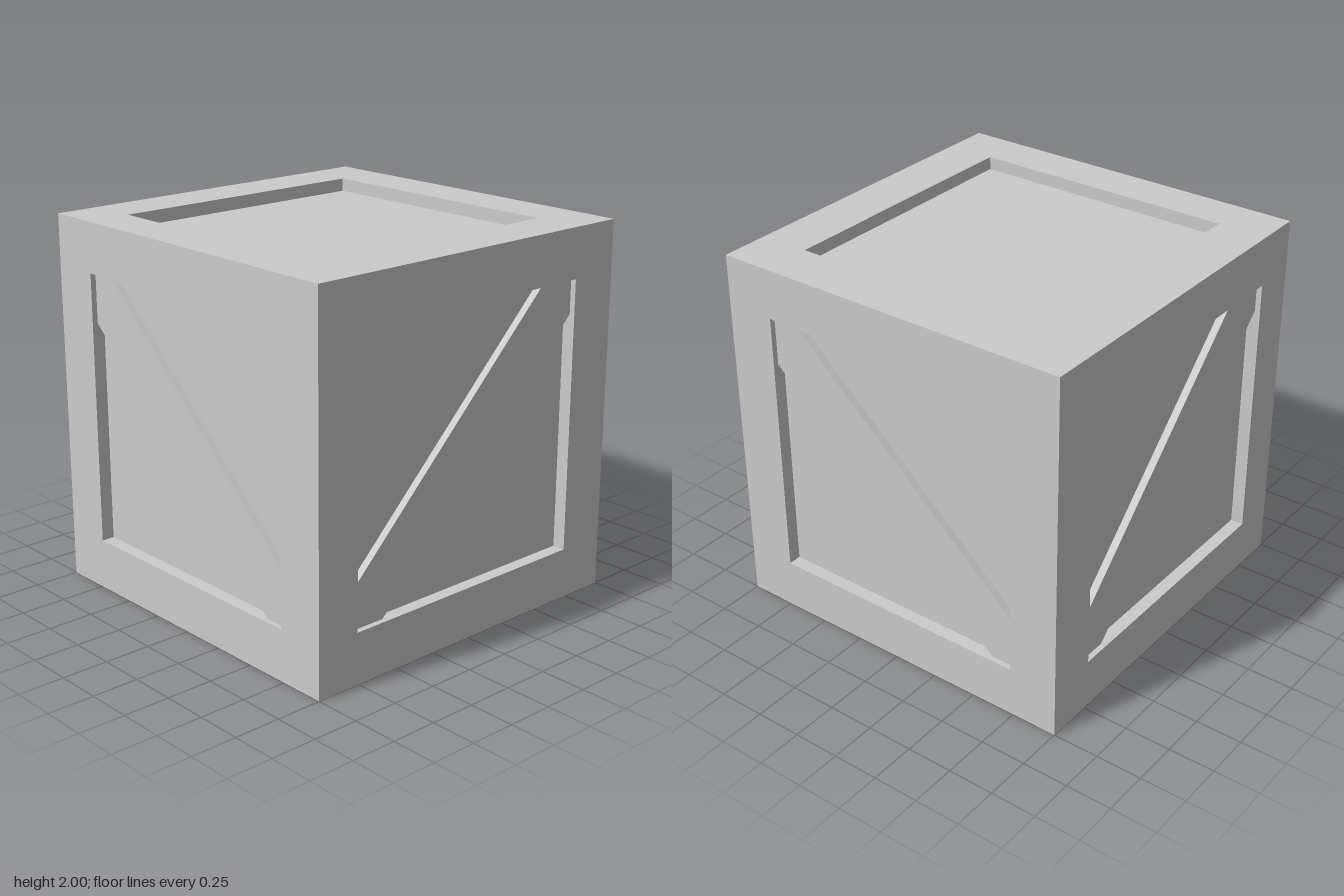
import * as THREE from 'three';

const INNER = 0.93;       // distance of the recessed panels from the centre
const BRACE_FACE = 0.97;  // distance of the brace faces from the centre
const BRACE_WIDTH = 0.284;

// Square frame plate with a rectangular opening; its back outline is mitred so six plates close a cube
function framePlate(u0, u1, v0, v1) {
  const shape = new THREE.Shape([[-1, -1], [1, -1], [1, 1], [-1, 1]].map(p => new THREE.Vector2(...p)));
  shape.holes.push(new THREE.Path([[u0, v0], [u0, v1], [u1, v1], [u1, v0]].map(p => new THREE.Vector2(...p))));
  const geo = new THREE.ExtrudeGeometry(shape, { depth: 1 - INNER, bevelEnabled: false });
  geo.translate(0, 0, INNER);
  const pos = geo.attributes.position;
  for (let i = 0; i < pos.count; i++) {
    const x = pos.getX(i), y = pos.getY(i);
    if (pos.getZ(i) < 0.95 && Math.max(Math.abs(x), Math.abs(y)) > 0.99) {
      pos.setXY(i, x * INNER, y * INNER);
    }
  }
  geo.computeVertexNormals();
  return geo;
}

export function createModel() {
  const crate = new THREE.Group();
  crate.name = 'crate';
  const material = new THREE.MeshStandardMaterial({ color: 0xcccccc, flatShading: true });
  const add = (parent, name, geo) => {
    const mesh = new THREE.Mesh(geo, material);
    mesh.name = name;
    parent.add(mesh);
    return mesh;
  };

  // Inner box whose faces are the recessed panels
  add(crate, 'panels', new THREE.BoxGeometry(2 * INNER, 2 * INNER, 2 * INNER)).position.y = 1;

  // Each side: rotation, opening [u0, u1, v0, v1], brace [slope angle, height offset]
  const q = Math.PI / 2;
  const sides = [
    { name: 'front', rot: [0, 0, 0], open: [-0.73, 0.73, -0.727, 0.733], brace: [-0.734, 0] },
    { name: 'back', rot: [0, 2 * q, 0], open: [-0.73, 0.73, -0.727, 0.733], brace: [-0.734, 0] },
    { name: 'right', rot: [0, q, 0], open: [-0.757, 0.723, -0.727, 0.733], brace: [0.779, 0.033] },
    { name: 'left', rot: [0, -q, 0], open: [-0.723, 0.757, -0.727, 0.733], brace: [0.779, 0.033] },
    { name: 'top', rot: [-q, 0, 0], open: [-0.73, 0.73, -0.755, 0.73] },
    { name: 'bottom', rot: [q, 0, 0], open: [-0.73, 0.73, -0.73, 0.755] },
  ];

  for (const { name, rot, open, brace } of sides) {
    const side = new THREE.Group();
    side.name = name + 'Side';
    side.position.y = 1;
    side.rotation.set(...rot);
    add(side, name + 'Frame', framePlate(...open));

    // Diagonal brace, its ends buried in the frame
    if (brace) {
      const depth = BRACE_FACE - INNER + 0.02;
      const bar = add(side, name + 'Brace', new THREE.BoxGeometry(2.14, BRACE_WIDTH, depth));
      bar.position.set(0, brace[1], BRACE_FACE - depth / 2);
      bar.rotation.z = brace[0];
    }
    crate.add(side);
  }
  return crate;
}
